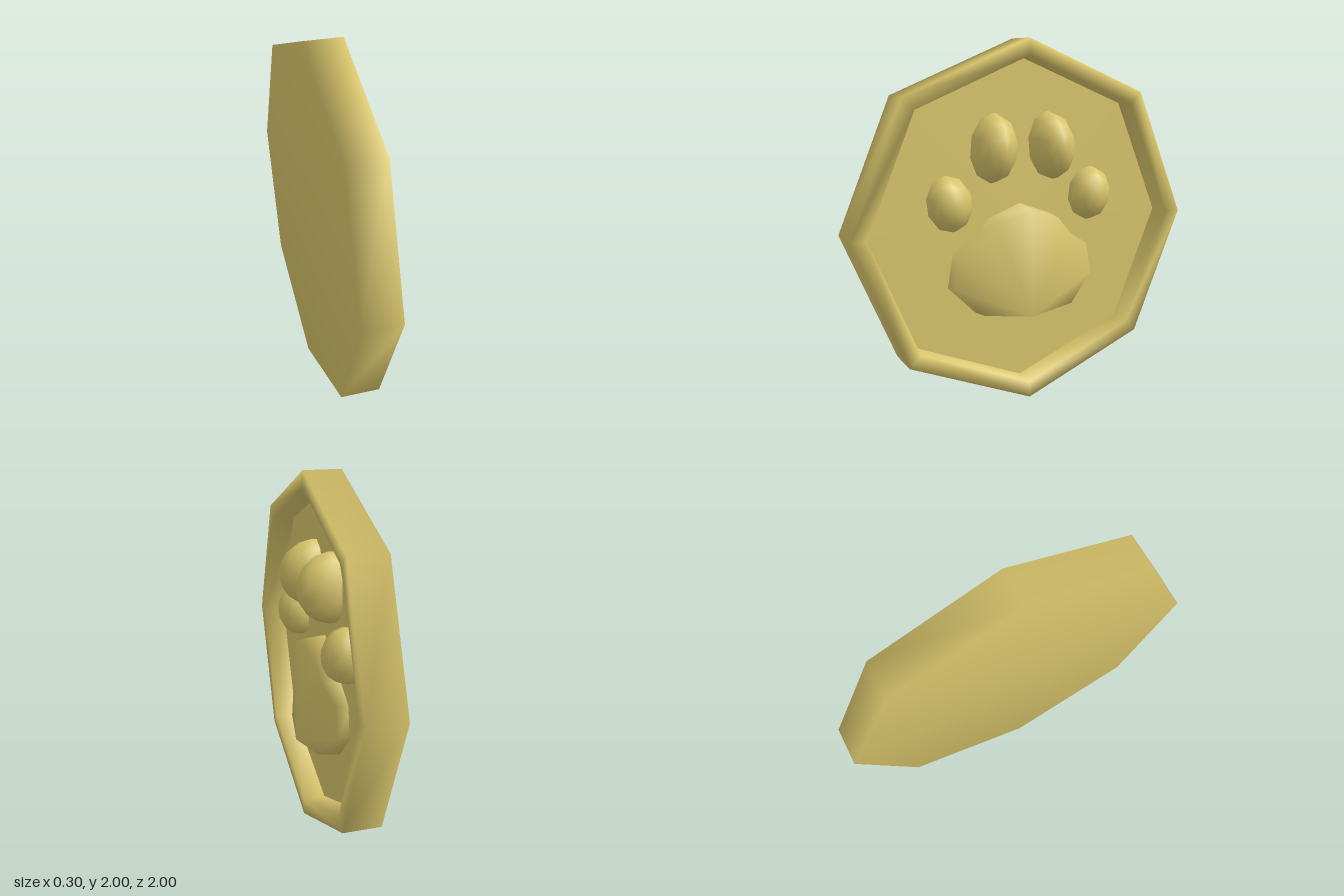
import * as THREE from 'three';

const material = new THREE.MeshStandardMaterial({ color: 0xdac66c });
const FLOOR = -0.065; // depth of the recessed face along x

// Lathe around the x axis with eight sides; profile points are [radius, x]
function octagon(name, profile) {
  const geometry = new THREE.LatheGeometry(profile.map(([r, x]) => new THREE.Vector2(r, x)), 8);
  geometry.rotateZ(-Math.PI / 2);
  const mesh = new THREE.Mesh(geometry, material);
  mesh.name = name;
  mesh.position.y = 1;
  return mesh;
}

// Domed toe pad bulging out along +x
function toe(name, y, z, height, halfY, halfZ, tilt) {
  const geometry = new THREE.SphereGeometry(1, 10, 5, 0, Math.PI * 2, 0, Math.PI * 0.6);
  geometry.rotateZ(-Math.PI / 2);
  const mesh = new THREE.Mesh(geometry, material);
  mesh.name = name;
  mesh.scale.set(height, halfY, halfZ);
  mesh.rotation.x = tilt;
  mesh.position.set(-0.045, y, z);
  return mesh;
}

// Large pad: a walled outline whose face fans out from its raised lower edge
function mainPad() {
  // [z, y, x of the face edge], from the bottom middle up one side
  const half = [
    [0, 0.475, 0.105], [0.28, 0.505, 0.055], [0.44, 0.665, 0.0], [0.41, 0.85, 0.0],
    [0.277, 0.935, 0.035], [0.19, 1.035, 0.05], [0, 1.105, 0.08],
  ];
  const mirrored = half.slice(1, -1).reverse().map(([z, y, x]) => [-z, y, x]);
  const outline = [...half, ...mirrored];
  const n = outline.length;
  const positions = [];
  for (const [z, y] of outline) positions.push(FLOOR - 0.02, y, z);
  for (const [z, y, x] of outline) positions.push(x, 0.79 + (y - 0.79) * 0.95, z * 0.97);
  const index = [];
  for (let i = 0; i < n; i++) {
    const j = (i + 1) % n;
    index.push(i, n + j, j, i, n + i, n + j);
    if (i > 0 && j > 0) index.push(n, n + j, n + i);
  }
  const geometry = new THREE.BufferGeometry();
  geometry.setAttribute('position', new THREE.Float32BufferAttribute(positions, 3));
  geometry.setIndex(index);
  geometry.computeVertexNormals();
  const mesh = new THREE.Mesh(geometry, material);
  mesh.name = 'mainPad';
  return mesh;
}

export function createModel() {
  const group = new THREE.Group();
  group.name = 'pawMedallion';

  // Back, outer side, rim and inner wall
  group.add(octagon('rim', [[0, -0.15], [1, -0.15], [1, 0.06], [0.91, 0.06], [0.905, FLOOR]]));
  // Recessed face
  group.add(octagon('recessedFace', [[0.905, FLOOR], [0, FLOOR]]));

  group.add(mainPad());
  for (const [side, s] of [['left', -1], ['right', 1]]) {
    group.add(toe(side + 'InnerToe', 1.42, s * 0.175, 0.19, 0.19, 0.125, s * -0.08));
    group.add(toe(side + 'OuterToe', 1.135, s * 0.43, 0.133, 0.155, 0.125, s * 0.12));
  }
  return group;
}
